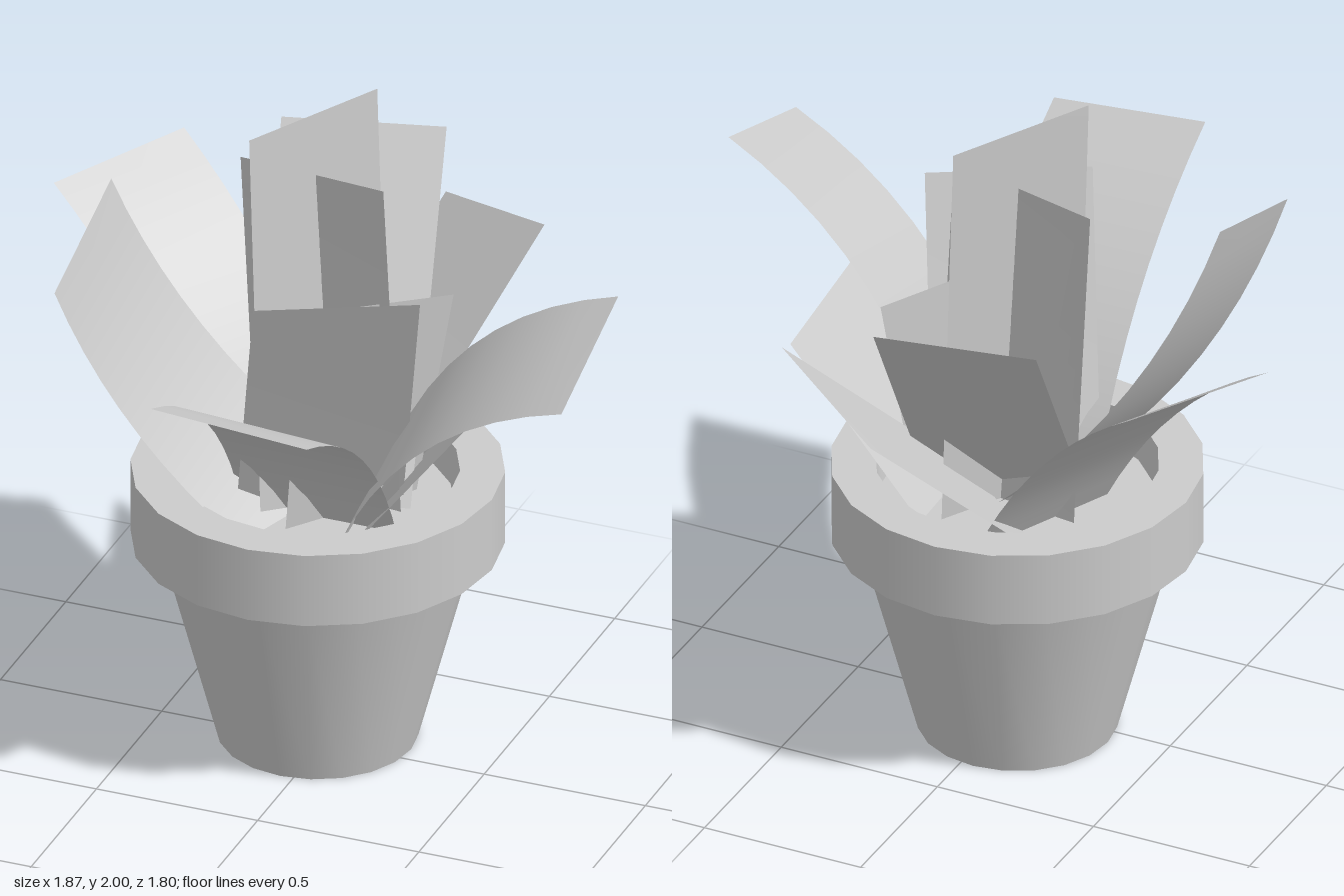
import * as THREE from 'three';

const SIDES = 20;
const leafMat = new THREE.MeshStandardMaterial({ color: 0xcccccc, side: THREE.DoubleSide });
const potMat = new THREE.MeshStandardMaterial({ color: 0xcccccc });

// Strip leaf: two base corners, two tip corners and the bow of its middle
function leaf(baseA, baseB, tipA, tipB, bow = [0, 0, 0]) {
  const off = new THREE.Vector3(...bow).multiplyScalar(2);
  const edge = (p, q) => {
    const a = new THREE.Vector3(...p), b = new THREE.Vector3(...q);
    const mid = a.clone().lerp(b, 0.5).add(off);
    return new THREE.QuadraticBezierCurve3(a, mid, b);
  };
  const left = edge(baseA, tipA), right = edge(baseB, tipB);
  const geo = new THREE.PlaneGeometry(1, 1, 1, 10);
  const pos = geo.attributes.position;
  for (let i = 0; i < pos.count; i++) {
    const t = pos.getY(i) + 0.5;
    const p = (pos.getX(i) < 0 ? left : right).getPoint(t);
    pos.setXYZ(i, p.x, p.y, p.z);
  }
  geo.computeVertexNormals();
  return new THREE.Mesh(geo, leafMat);
}

// Turned ring or wall; each straight run is its own lathe so edges stay crisp
function turned(name, points) {
  const group = new THREE.Group();
  group.name = name;
  for (let i = 0; i < points.length - 1; i++) {
    const run = [points[i], points[i + 1]].map(([r, y]) => new THREE.Vector2(r, y));
    group.add(new THREE.Mesh(new THREE.LatheGeometry(run, SIDES), potMat));
  }
  return group;
}

export function createModel() {
  const model = new THREE.Group();

  // Pot: tapered wall with floor, thick rim and soil inside
  const pot = new THREE.Group();
  pot.name = 'pot';
  pot.position.set(-0.04, 0, -0.06);
  pot.add(turned('potBody', [[0, 0], [0.29, 0], [0.46, 0.64]]));
  pot.add(turned('potRim', [[0.46, 0.64], [0.54, 0.64], [0.54, 0.87], [0.41, 0.87], [0.39, 0.74]]));
  pot.add(turned('soil', [[0.4, 0.76], [0, 0.76]]));
  model.add(pot);

  // Leaves: base corners, tip corners, bow
  const leaves = {
    frontLeaf: [[-0.24, 0.75, 0.03], [0.24, 0.73, 0.02], [-0.17, 1.52, 0.9], [0.31, 1.48, 0.89], [0, 0.07, -0.08]],
    leftLeaf: [[0.1, 0.8, -0.2], [0.1, 0.68, 0.25], [0.92, 1.66, 0.01], [0.93, 1.51, 0.47], [-0.09, 0.11, 0]],
    rightLeaf: [[-0.06, 0.82, -0.22], [-0.08, 0.7, 0.25], [-0.64, 1.74, 0.04], [-0.63, 1.6, 0.5], [-0.07, -0.05, -0.02]],
    backRightLeaf: [[-0.07, 0.75, -0.4], [-0.27, 0.75, 0.05], [-0.71, 1.52, -0.69], [-0.94, 1.51, -0.26], [0.04, 0.05, 0.02]],
    backLeaf: [[-0.24, 0.75, 0], [0.23, 0.75, -0.1], [-0.4, 1.63, -0.67], [0.07, 1.64, -0.775]],
    backLeftLeaf: [[-0.27, 0.72, -0.3], [0.14, 0.8, -0.04], [0.015, 1.35, -0.905], [0.42, 1.45, -0.66]],
    shortLeftLeaf: [[0.15, 0.75, 0.15], [0.13, 0.75, -0.33], [0.57, 1.29, 0.1], [0.53, 1.28, -0.38]],
    innerFrontLeaf: [[-0.23, 0.75, 0.1], [0.19, 0.75, -0.14], [-0.055, 1.61, 0.4], [0.37, 1.6, 0.17]],
    tallLeaf: [[-0.14, 0.75, 0.13], [0.09, 0.75, -0.29], [-0.18, 2, 0.12], [0.045, 2, -0.305]],
    uprightLeaf: [[-0.26, 0.75, -0.14], [0.21, 0.75, -0.08], [-0.31, 1.79, -0.135], [0.165, 1.815, -0.055]],
    innerLeftLeaf: [[-0.06, 0.75, 0.14], [0.2, 0.75, -0.22], [-0.01, 1.47, 0.13], [0.3, 1.4, -0.26]],
  };
  for (const [name, corners] of Object.entries(leaves)) {
    const mesh = leaf(...corners);
    mesh.name = name;
    model.add(mesh);
  }
  return model;
}
